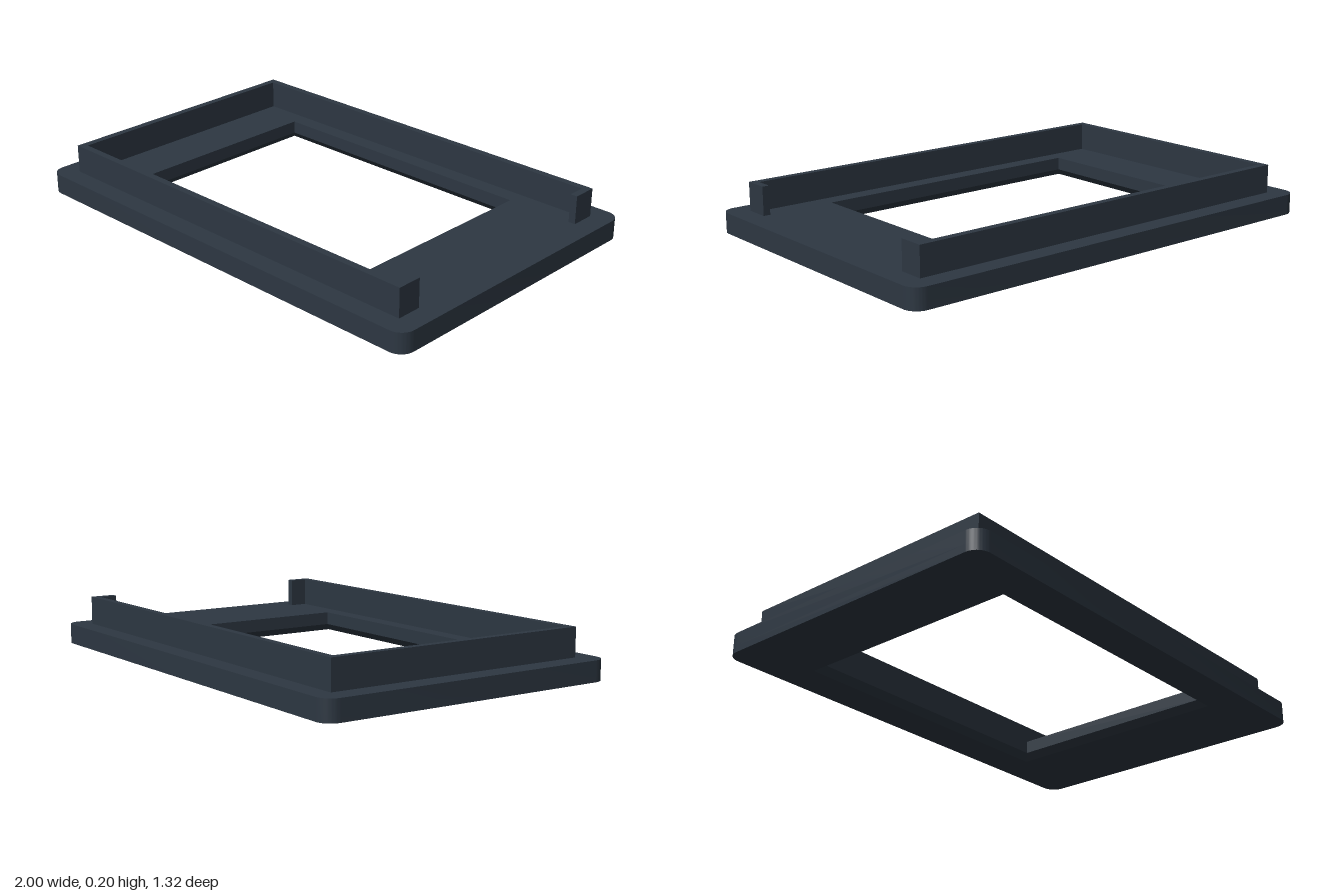
import * as THREE from 'three';
import { toCreasedNormals } from 'three/addons/utils/BufferGeometryUtils.js';

const PLATE_H = 0.085, RIM_H = 0.12;
const CHAMFER_H = 0.03, CHAMFER_W = 0.025;

// Outline with rounded corners, centred on the origin
function roundedRect(hw, hd, r) {
  const s = new THREE.Shape();
  s.absarc(hw - r, hd - r, r, 0, Math.PI / 2);
  s.absarc(-hw + r, hd - r, r, Math.PI / 2, Math.PI);
  s.absarc(-hw + r, -hd + r, r, Math.PI, Math.PI * 1.5);
  s.absarc(hw - r, -hd + r, r, Math.PI * 1.5, Math.PI * 2);
  s.closePath();
  return s;
}

const points = (list) => list.map(([x, y]) => new THREE.Vector2(x, y));

// Bezel plate with an off-centre window, chamfered on its underside
function plateGeometry() {
  const shape = roundedRect(1, 0.658, 0.06);
  const x0 = -0.665, x1 = 0.59, d = 0.473;
  shape.holes.push(new THREE.Path(points([[x0, -d], [x0, d], [x1, d], [x1, -d]])));
  const geo = new THREE.ExtrudeGeometry(shape, {
    depth: PLATE_H, steps: 2, bevelEnabled: false, curveSegments: 8,
  });
  const p = geo.attributes.position;
  const mid = (x0 + x1) / 2;
  for (let i = 0; i < p.count; i++) {
    const x = p.getX(i), y = p.getY(i), z = p.getZ(i);
    const inWindow = Math.abs(x) < 0.7 && Math.abs(y) < 0.5;
    if (z > 0.001 && z < PLATE_H - 0.001) p.setZ(i, CHAMFER_H);
    if (inWindow && z < 0.001) {
      p.setX(i, x + Math.sign(x - mid) * CHAMFER_W);
      p.setY(i, y + Math.sign(y) * CHAMFER_W);
    }
  }
  geo.rotateX(-Math.PI / 2);
  return toCreasedNormals(geo, 0.5);
}

// Raised rim on three sides, with short returns at the open end
function rimGeometry() {
  const X = 0.91, D = 0.575, T = 0.03, R = 0.47;
  const half = [[X - T, R], [X, R], [X, D], [-X, D]];
  const inner = [[-X + T, D - T], [X - T, D - T]];
  const flip = (list) => list.map(([x, y]) => [x, -y]).reverse();
  const outline = [...half, ...flip(half), ...flip(inner), ...inner];
  const geo = new THREE.ExtrudeGeometry(new THREE.Shape(points(outline)), {
    depth: RIM_H, bevelEnabled: false,
  });
  return geo.rotateX(-Math.PI / 2);
}

export function createModel() {
  const model = new THREE.Group();
  model.name = 'screenBezel';
  const slate = new THREE.MeshStandardMaterial({ color: 0x2d3742 });
  slate.name = 'dark slate';

  const plate = new THREE.Mesh(plateGeometry(), slate);
  plate.name = 'bezelPlate';

  const rim = new THREE.Mesh(rimGeometry(), slate);
  rim.name = 'raisedRim';
  rim.position.y = PLATE_H;

  model.add(plate, rim);
  return model;
}
